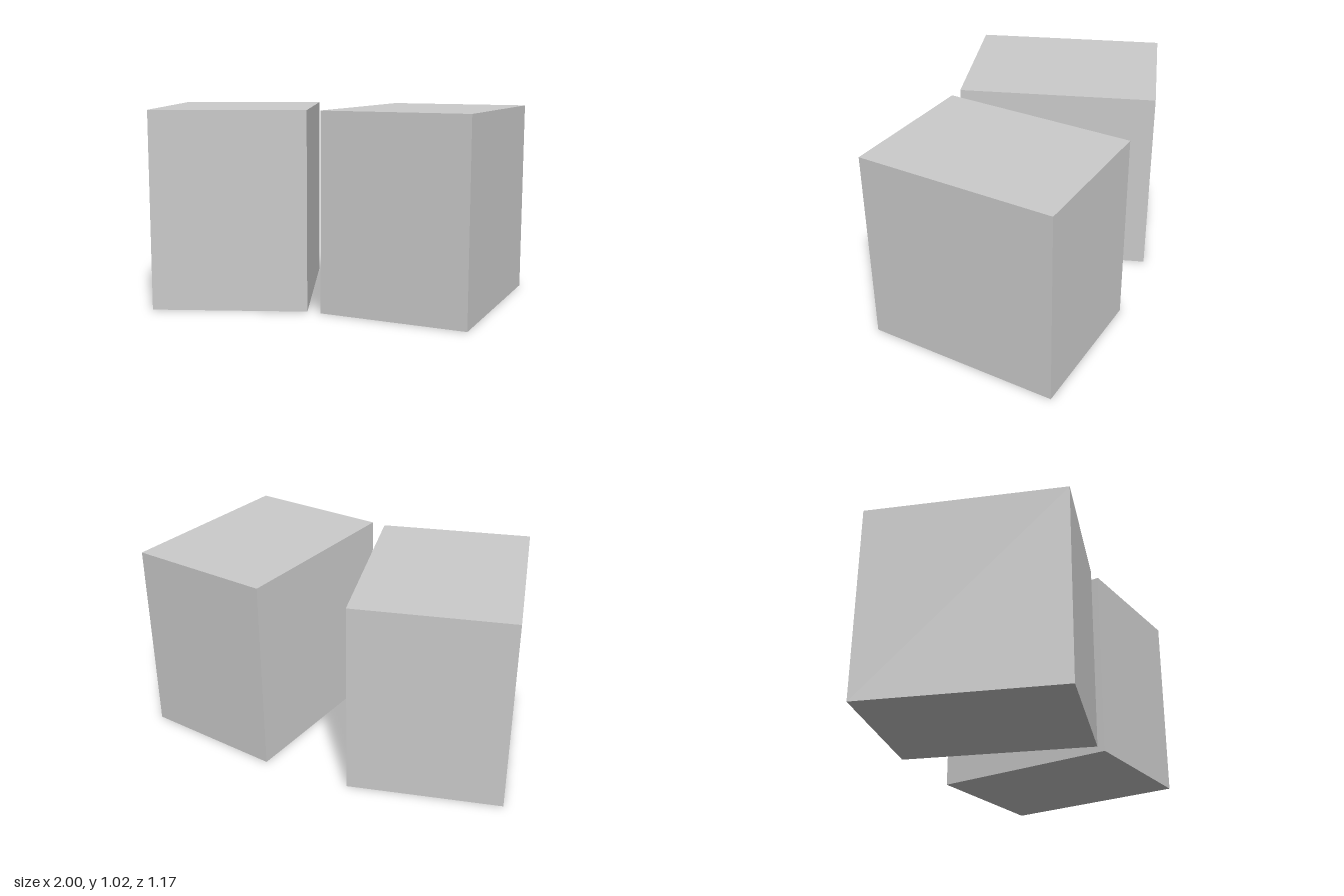
import * as THREE from 'three';

const HEIGHT = 1.02;

export function createModel() {
  const group = new THREE.Group();
  const material = new THREE.MeshStandardMaterial({ color: 0xcccccc, flatShading: true });

  // Upright block standing on the ground, turned about its vertical axis
  function addBlock(name, width, depth, x, z, turn) {
    const block = new THREE.Mesh(new THREE.BoxGeometry(width, HEIGHT, depth), material);
    block.name = name;
    block.position.set(x, HEIGHT / 2, z);
    block.rotation.y = turn;
    group.add(block);
  }

  // Two blocks angled towards each other at the front
  addBlock('rightBlock', 0.794, 1.026, -0.502, 0, 0.216);
  addBlock('leftBlock', 0.764, 1.018, 0.535, -0.005, -0.175);

  return group;
}
